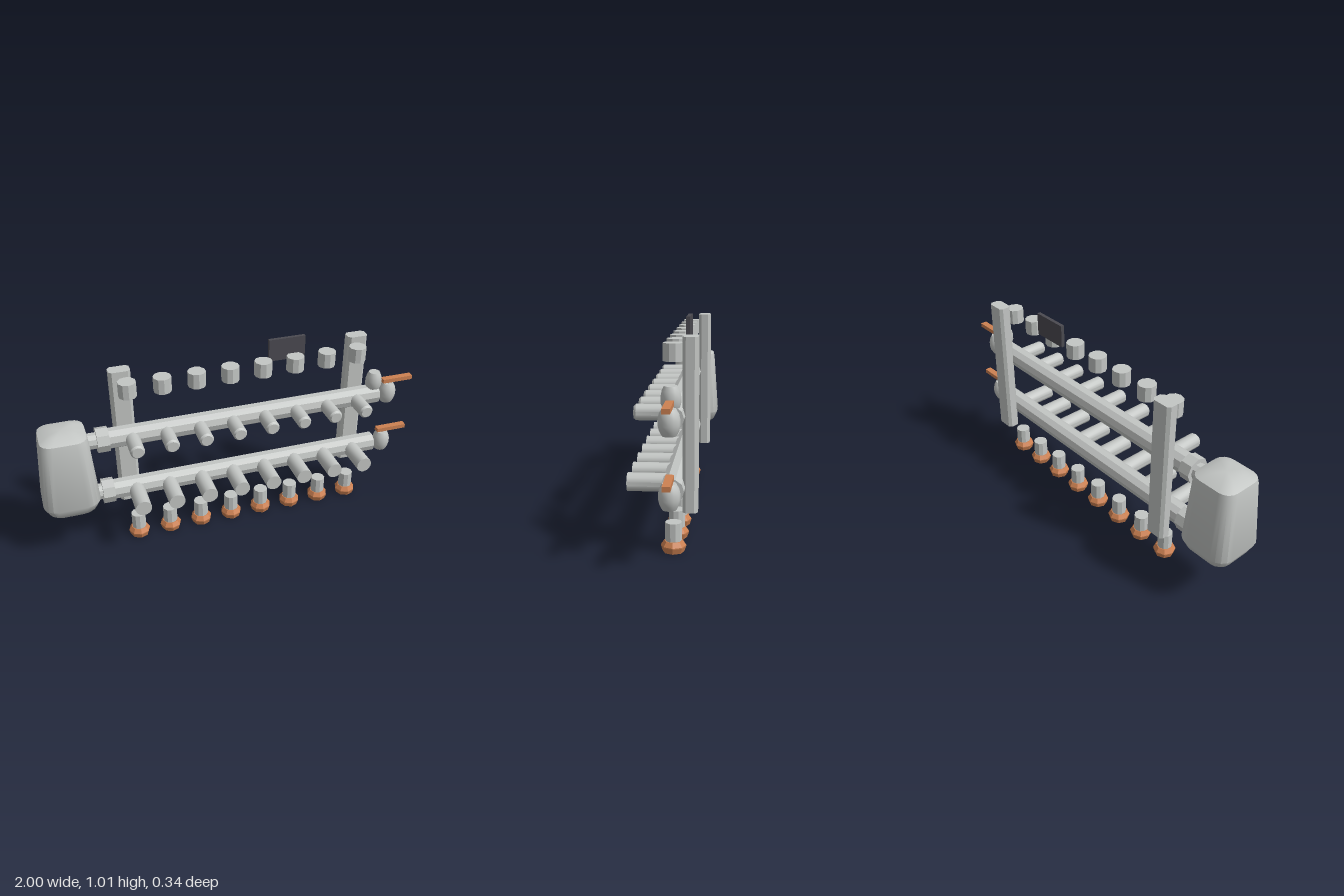
import * as THREE from 'three';
import { toCreasedNormals } from 'three/addons/utils/BufferGeometryUtils.js';

const paint = (name, hex) => {
  const m = new THREE.MeshStandardMaterial({ color: hex });
  m.name = name;
  return m;
};

// Closed turned solid: profile is [radius, height] from bottom to top.
function turned(profile, sides, crease, axis = 'y') {
  const pts = [[0, profile[0][1]], ...profile, [0, profile[profile.length - 1][1]]];
  let g = new THREE.LatheGeometry(pts.map(([r, y]) => new THREE.Vector2(r, y)), sides);
  g = toCreasedNormals(g, crease);
  if (axis === 'x') g.rotateZ(-Math.PI / 2);
  if (axis === 'z') g.rotateX(Math.PI / 2);
  return g;
}

// Rounded-square rings [y, half width] joined into a closed smooth body.
function squareLoft(rings, cornerRatio) {
  const pos = [], idx = [], perCorner = 5, n = perCorner * 4;
  for (const [y, h] of rings) {
    const r = h * cornerRatio;
    for (let c = 0; c < 4; c++) {
      const mid = (c + 0.5) * Math.PI / 2;
      const cx = Math.sign(Math.cos(mid)) * (h - r), cz = Math.sign(Math.sin(mid)) * (h - r);
      for (let k = 0; k < perCorner; k++) {
        const a = (c + k / (perCorner - 1)) * Math.PI / 2;
        pos.push(cx + r * Math.cos(a), y, cz + r * Math.sin(a));
      }
    }
  }
  for (let j = 0; j < rings.length - 1; j++) {
    for (let i = 0; i < n; i++) {
      const a = j * n + i, b = j * n + (i + 1) % n;
      idx.push(a, a + n, b, b, a + n, b + n);
    }
  }
  const last = (rings.length - 1) * n, base = pos.length / 3;
  pos.push(0, rings[0][0], 0, 0, rings[rings.length - 1][0], 0);
  for (let i = 0; i < n; i++) {
    const k = (i + 1) % n;
    idx.push(base, i, k, base + 1, last + k, last + i);
  }
  const g = new THREE.BufferGeometry();
  g.setAttribute('position', new THREE.Float32BufferAttribute(pos, 3));
  g.setIndex(idx);
  return toCreasedNormals(g, 0.6);
}

export function createModel() {
  const model = new THREE.Group();
  const steel = paint('steel', 0xc3c6c4);
  const copper = paint('copper', 0xcd8152);
  const dark = paint('dark grey', 0x4b4a51);
  const Z = -0.028, FLAT = 0.1, SMOOTH = 0.75;

  const add = (name, geo, mat, x, y, z) => {
    const m = new THREE.Mesh(geo, mat);
    m.name = name;
    m.position.set(x, y, z);
    model.add(m);
    return m;
  };

  // Pump housing
  add('pumpHousing', squareLoft([
    [0.268, 0.098], [0.288, 0.118], [0.335, 0.14], [0.66, 0.117], [0.69, 0.111], [0.714, 0.062],
  ], 0.5), steel, -0.86, 0, -0.031);
  add('pumpDrainNut', turned([[0.056, -0.03], [0.056, 0.03]], 8, FLAT, 'x'), steel, -0.85, 0.312, Z);

  // Two manifold bars with nuts, valves and lever handles
  const barGeo = turned([[0.053, -0.66], [0.053, 0.8]], 10, FLAT, 'x');
  const pipeGeo = turned([[0.042, -0.86], [0.042, -0.65]], 10, FLAT, 'x');
  const nutGeo = turned([[0.064, -0.702], [0.064, -0.642]], 8, FLAT, 'x');
  const valveGeo = turned([
    [0.03, -0.055], [0.041, -0.035], [0.046, -0.012], [0.046, 0.012], [0.041, 0.035], [0.03, 0.055],
  ], 12, SMOOTH);
  const handleGeo = new THREE.BoxGeometry(0.168, 0.022, 0.034);
  for (const [side, y] of [['upper', 0.622], ['lower', 0.314]]) {
    add(side + 'Bar', barGeo, steel, 0, y, -0.031);
    add(side + 'Pipe', pipeGeo, steel, 0, y, -0.031);
    add(side + 'Nut', nutGeo, steel, 0, y, -0.031);
    add(side + 'Valve', valveGeo, steel, 0.864, y, Z);
    add(side + 'ValveStem', turned([[0.014, 0.05], [0.014, 0.064]], 8, FLAT), steel, 0.864, y, Z);
    add(side + 'Handle', handleGeo, copper, 0.914, y + 0.071, Z);
  }
  add('airVent', turned([
    [0.036, 0.665], [0.042, 0.68], [0.043, 0.71], [0.038, 0.735], [0.029, 0.755],
  ], 12, SMOOTH), steel, 0.777, 0, Z);

  // Outlets, caps and lower connectors along the bars
  const upperOutlet = turned([[0.036, 0], [0.036, 0.158], [0.028, 0.168]], 14, 0.6, 'z');
  const lowerOutlet = turned([[0.041, 0], [0.041, 0.2]], 14, 0.6, 'z');
  const capGeo = turned([[0.045, 0.842], [0.045, 0.919]], 10, FLAT);
  const stemGeo = turned([[0.037, 0.045], [0.037, 0.134]], 10, FLAT);
  const collarGeo = turned([[0.048, 0], [0.056, 0.025], [0.056, 0.03], [0.042, 0.051]], 8, FLAT);
  for (let i = 0; i < 8; i++) {
    const x = -0.53 + i * 0.1707;
    add('upperOutlet', upperOutlet, steel, x, 0.621, Z);
    add('lowerOutlet', lowerOutlet, steel, x, 0.312, Z);
    add('actuatorCap', capGeo, steel, x, 0, Z);
    add('connectorStem', stemGeo, steel, x, 0, Z);
    add('connectorCollar', collarGeo, copper, x, 0, Z);
  }

  // Chamfered mounting uprights
  const w = 0.053, d = 0.0325, c = 0.014;
  const section = new THREE.Shape([
    [-w + c, -d], [w - c, -d], [w, -d + c], [w, d - c], [w - c, d], [-w + c, d], [-w, d - c], [-w, -d + c],
  ].map(([x, y]) => new THREE.Vector2(x, y)));
  const uprightGeo = new THREE.ExtrudeGeometry(section, { depth: 0.75, bevelEnabled: false });
  uprightGeo.rotateX(-Math.PI / 2);
  for (const x of [-0.551, 0.688]) add('upright', uprightGeo, steel, x, 0.2, -0.104);

  // Thin display panel
  add('displayPanel', new THREE.BoxGeometry(0.192, 0.116, 0.018), dark, 0.291, 0.948, -0.071);

  return model;
}
